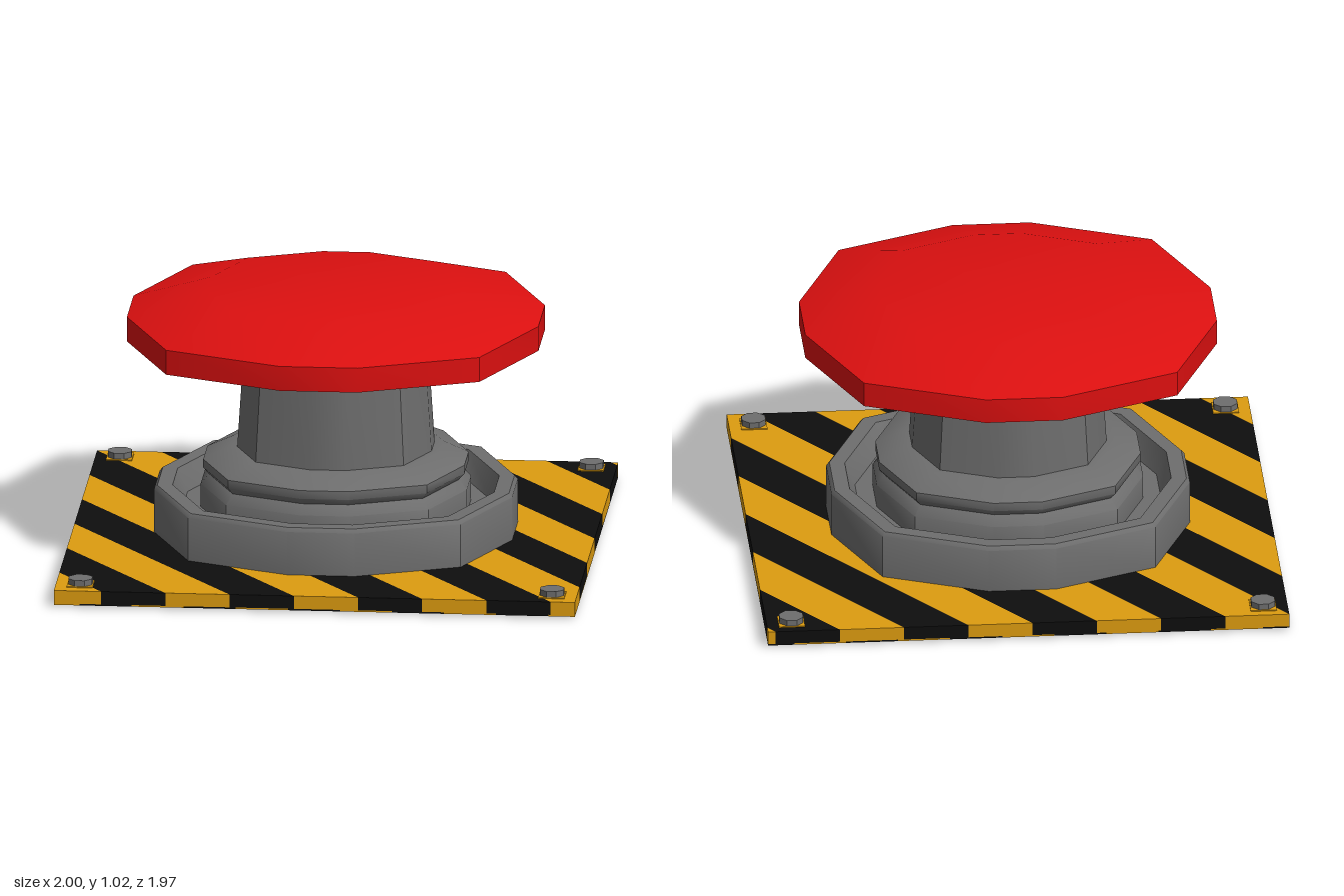
import * as THREE from 'three';
import { toCreasedNormals } from 'three/addons/utils/BufferGeometryUtils.js';

function material(name, color) {
  const m = new THREE.MeshStandardMaterial({ color });
  m.name = name;
  return m;
}

// Keep the part of a polygon where f(point) >= 0
function clip(poly, f) {
  const out = [];
  poly.forEach((p, i) => {
    const q = poly[(i + 1) % poly.length];
    const a = f(p), b = f(q);
    if (a >= 0) out.push(p);
    if ((a >= 0) !== (b >= 0)) out.push(p.clone().lerp(q, a / (a - b)));
  });
  return out;
}

// Twelve-sided turned part, with sides slightly uneven like a softened square
function turned(profile) {
  const points = profile.map(([r, y]) => new THREE.Vector2(r, y));
  const geo = new THREE.LatheGeometry(points, 12, Math.PI / 12);
  const p = geo.attributes.position;
  for (let i = 0; i < p.count; i++) {
    const x = p.getX(i), z = p.getZ(i);
    const a = Math.atan2(z, x);
    const r = Math.hypot(x, z) * (1 - 0.0377 * Math.cos(4 * a));
    const b = a - 0.087 * Math.sin(4 * a);
    p.setXYZ(i, r * Math.cos(b), p.getY(i), r * Math.sin(b));
  }
  return toCreasedNormals(geo, 0.75);
}

export function createModel() {
  const model = new THREE.Group();
  model.name = 'emergencyButton';
  const red = material('red', 0xdd1010);
  const grey = material('grey', 0x6e6e6e);
  const yellow = material('yellow', 0xdd9c10);
  const black = material('black', 0x0e0e0e);

  function add(name, geo, mat, x = 0, y = 0, z = 0) {
    const mesh = new THREE.Mesh(geo, mat);
    mesh.name = name;
    mesh.position.set(x, y, z);
    model.add(mesh);
    return mesh;
  }

  // Slanted hazard bands filling the plate: black starts at `start`, repeats every `period`
  function hazardLayer(name, slant, start, period, y0, y1) {
    const plate = [[-1, -0.98], [1, -0.98], [1, 0.985], [-1, 0.985]]
      .map(([x, y]) => new THREE.Vector2(x, y)); // shape y is -z
    const u = (p) => p.x + slant * p.y;
    for (let i = -10; i <= 10; i++) {
      const lo = start + (i * period) / 2, hi = lo + period / 2;
      const band = clip(clip(plate, (p) => u(p) - lo), (p) => hi - u(p));
      if (band.length < 3) continue;
      const geo = new THREE.ExtrudeGeometry(new THREE.Shape(band), { depth: y1 - y0, bevelEnabled: false });
      geo.rotateX(-Math.PI / 2);
      const dark = i % 2 === 0;
      add(name + (dark ? 'BlackBand' : 'YellowBand'), geo, dark ? black : yellow, 0, y0, 0);
    }
  }
  hazardLayer('plate', 0.72, -0.045, 0.493, 0.014, 0.065);
  hazardLayer('plateUnderside', 0.1, -1.0, 0.4, 0.008, 0.014);

  // Corner bolts on small yellow pads
  for (const x of [-0.905, 0.905]) {
    for (const z of [-0.9, 0.885]) {
      add('boltPad', new THREE.BoxGeometry(0.1, 0.004, 0.1), yellow, x, 0.067, z);
      const bolt = new THREE.CylinderGeometry(0.049, 0.049, 0.092, 8).rotateY(Math.PI / 8);
      add('bolt', toCreasedNormals(bolt, 0.5), grey, x, 0.046, z);
    }
  }

  // Base ring with a trough, and the stepped collar inside it
  add('baseRing', turned([
    [0.713, 0.06], [0.713, 0.235], [0.7, 0.25], [0.64, 0.25], [0.6, 0.16], [0.45, 0.16],
  ]), grey);
  add('collar', turned([
    [0.53, 0.15], [0.53, 0.252], [0.498, 0.29], [0.52, 0.315], [0.52, 0.348], [0.42, 0.395], [0.36, 0.395],
  ]), grey);

  // Tapered stem
  add('stem', turned([[0.388, 0.38], [0.358, 0.83], [0.355, 0.88]]), grey);

  // Mushroom cap with a shallow hollow underneath
  add('cap', turned([
    [0.001, 0.86], [0.36, 0.86], [0.819, 0.825], [0.819, 0.922], [0.505, 1.02], [0.001, 1.02],
  ]), red);

  return model;
}
